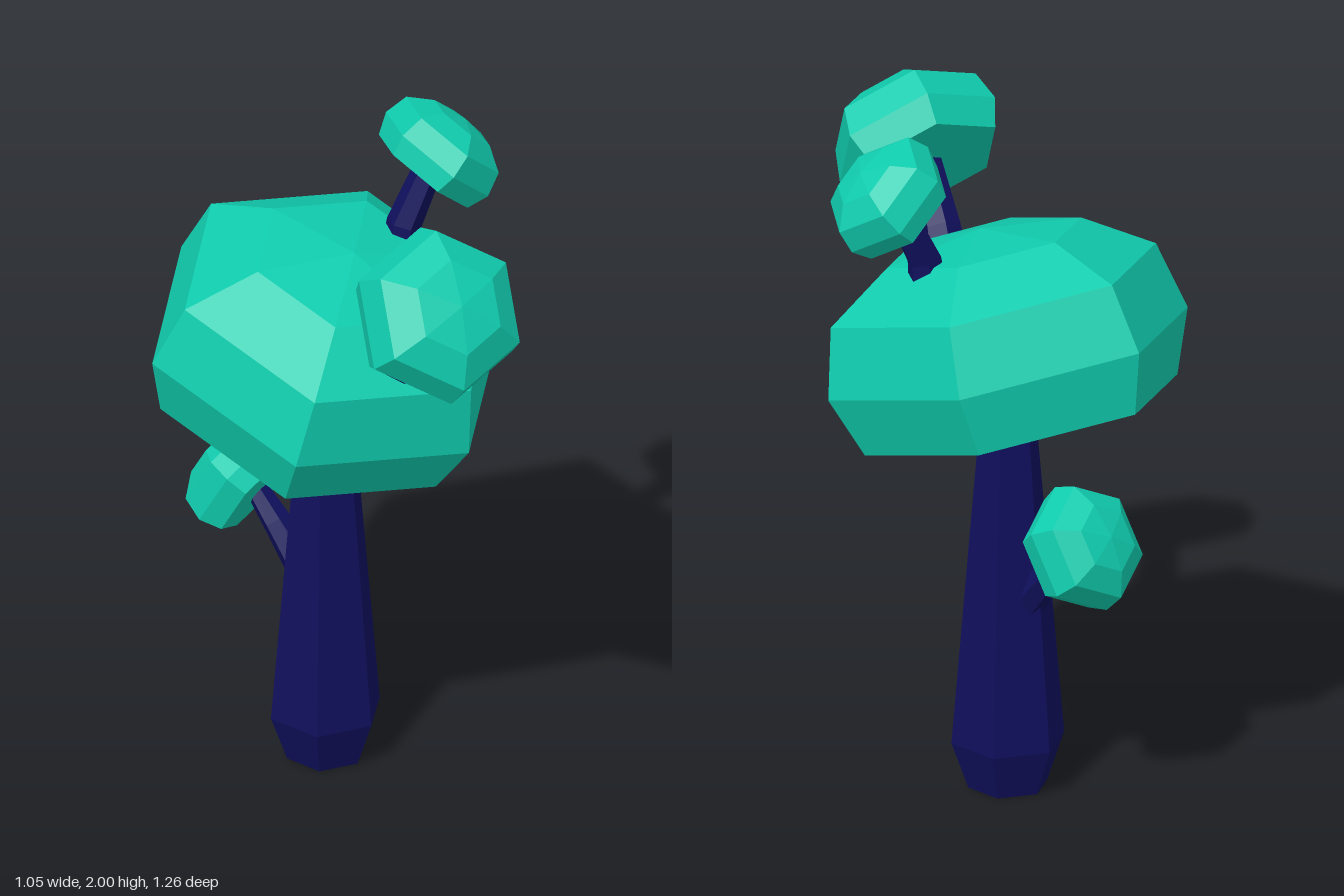
import * as THREE from 'three';

const leaf = new THREE.MeshStandardMaterial({ color: 0x10ccae, flatShading: true });
leaf.name = 'teal foliage';
const bark = new THREE.MeshStandardMaterial({ color: 0x0f0f5c, flatShading: true });
bark.name = 'dark blue bark';

const vec = (a) => new THREE.Vector3(...a);

// Half profile of a foliage cap of radius 1: flat underside, widest ring, shallow peak
const capProfile = [[0, -0.335], [0.87, -0.335], [1, 0], [0.905, 0.375], [0.54, 0.61], [0, 0.69]]
  .map(([r, y]) => new THREE.Vector2(r, y));

// Six-sided cap; axis is its up direction, corner points to one of its six corners
function makeCap(name, center, axis, corner, radius) {
  const y = vec(axis).normalize();
  const z = vec(corner);
  z.addScaledVector(y, -z.dot(y)).normalize();
  const x = new THREE.Vector3().crossVectors(y, z);
  const geo = new THREE.LatheGeometry(capProfile, 6);
  geo.scale(radius, radius, radius);
  geo.applyMatrix4(new THREE.Matrix4().makeBasis(x, y, z));
  const mesh = new THREE.Mesh(geo, leaf);
  mesh.position.set(...center);
  mesh.name = name;
  return mesh;
}

// Bent six-sided branch through three points, each with its own radius
function makeBranch(name, points, radii) {
  const path = points.map(vec);
  const up = new THREE.Vector3(0, 1, 0);
  const turns = path.map((p, i) => {
    const dir = path[Math.min(i + 1, 2)].clone().sub(path[Math.max(i - 1, 0)]).normalize();
    return new THREE.Quaternion().setFromUnitVectors(up, dir);
  });
  const geo = new THREE.CylinderGeometry(1, 1, 1, 6, 2);
  const pos = geo.attributes.position;
  const v = new THREE.Vector3();
  for (let i = 0; i < pos.count; i++) {
    v.fromBufferAttribute(pos, i);
    const ring = Math.round((v.y + 0.5) * 2);
    v.y = 0;
    v.multiplyScalar(radii[ring]).applyQuaternion(turns[ring]).add(path[ring]);
    pos.setXYZ(i, v.x, v.y, v.z);
  }
  geo.computeVertexNormals();
  const mesh = new THREE.Mesh(geo, bark);
  mesh.name = name;
  return mesh;
}

export function createModel() {
  const tree = new THREE.Group();
  tree.name = 'tree';

  // Trunk: narrow foot, widest just above the ground, tapering into the crown
  const trunkProfile = [[0, 0], [0.115, 0], [0.164, 0.14], [0.07, 1.25], [0, 1.25]]
    .map(([r, y]) => new THREE.Vector2(r, y));
  const trunk = new THREE.Mesh(new THREE.LatheGeometry(trunkProfile, 6, Math.PI / 2), bark);
  trunk.position.z = -0.165;
  trunk.name = 'trunk';
  tree.add(trunk);

  // Branches
  tree.add(
    makeBranch('frontBranch', [[0.07, 1.41, 0.19], [0.075, 1.53, 0.255], [0.09, 1.7, 0.39]], [0.065, 0.055, 0.045]),
    makeBranch('leftBranch', [[0.24, 1.5, -0.21], [0.255, 1.64, -0.21], [0.33, 1.8, -0.215]], [0.06, 0.05, 0.042]),
    makeBranch('lowBranch', [[-0.04, 0.58, -0.23], [-0.09, 0.69, -0.31], [-0.13, 0.78, -0.39]], [0.055, 0.042, 0.032]),
  );

  // Foliage caps
  tree.add(
    makeCap('crown', [0, 1.305, -0.167], [0.147, 0.96, 0.24], [1.05, -0.165, -0.03], 0.532),
    makeCap('frontFoliage', [0.097, 1.725, 0.43], [0.14, 0.58, 0.8], [0.05, 0.8, -0.59], 0.252),
    makeCap('leftFoliage', [0.358, 1.835, -0.22], [0.68, 0.73, -0.03], [-0.11, 0.16, 0.98], 0.186),
    makeCap('lowFoliage', [-0.145, 0.795, -0.408], [-0.49, 0.5, -0.71], [0.285, 0.866, 0.41], 0.187),
  );
  return tree;
}
